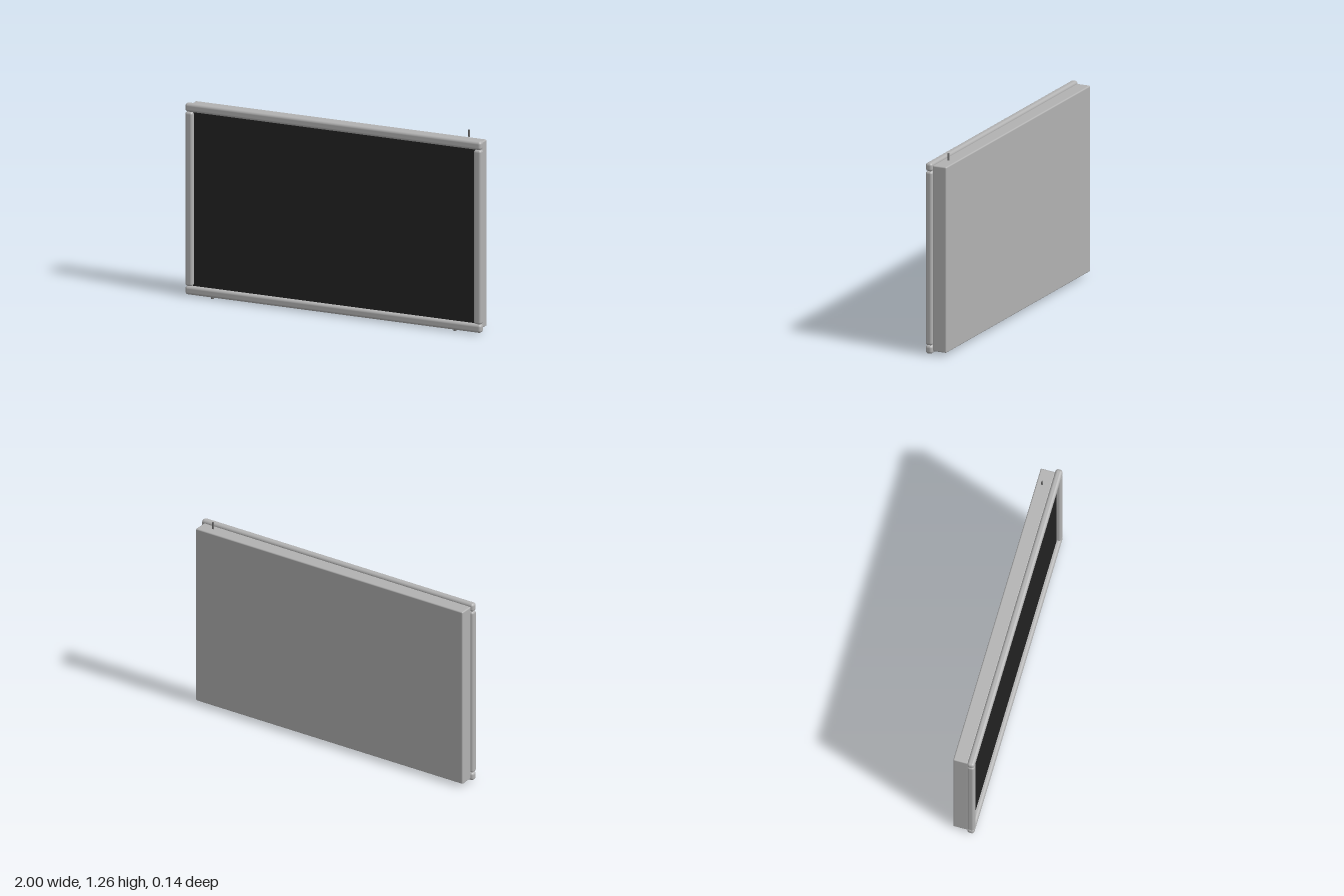
import * as THREE from 'three';
import { RoundedBoxGeometry } from 'three/addons/geometries/RoundedBoxGeometry.js';

export function createModel() {
  const group = new THREE.Group();
  group.name = 'wallDisplay';

  const makeMaterial = (name, color) => {
    const m = new THREE.MeshStandardMaterial({ color });
    m.name = name;
    return m;
  };
  const silver = makeMaterial('silver casing', 0xb2b2b2);
  const black = makeMaterial('black screen', 0x222222);
  const darkGrey = makeMaterial('dark grey pin', 0x707070);

  const add = (name, geometry, material, x, y, z) => {
    const mesh = new THREE.Mesh(geometry, material);
    mesh.name = name;
    mesh.position.set(x, y, z);
    group.add(mesh);
    return mesh;
  };

  // Rear housing with softly rounded edges
  add('housing', new RoundedBoxGeometry(1.966, 1.18, 0.094, 3, 0.008), silver, -0.004, 0.613, -0.02);

  // Frame: two long horizontal rails with two uprights between them
  const railZ = 0.0455, railDepth = 0.045;
  add('topRail', new RoundedBoxGeometry(2, 0.054, railDepth, 4, 0.017), silver, 0, 1.193, railZ);
  add('bottomRail', new RoundedBoxGeometry(2, 0.054, railDepth, 4, 0.017), silver, 0, 0.035, railZ);
  for (const [name, side] of [['leftRail', 1], ['rightRail', -1]]) {
    add(name, new RoundedBoxGeometry(0.05, 1.104, railDepth, 4, 0.015), silver, side * 0.975, 0.614, railZ);
  }

  // Recessed screen panel, tucked behind the inner edges of the rails
  add('screen', new THREE.BoxGeometry(1.91, 1.12, 0.016), black, 0, 0.614, 0.033);

  // Short pin above the housing
  add('antennaPin', new THREE.CylinderGeometry(0.006, 0.006, 0.045, 16), darkGrey, 0.876, 1.2385, -0.03);

  // Small studs under the bottom rail
  for (const [name, side] of [['leftStud', 1], ['rightStud', -1]]) {
    add(name, new THREE.CylinderGeometry(0.009, 0.009, 0.014, 16), darkGrey, side * 0.818, 0.007, 0.052);
  }

  return group;
}
